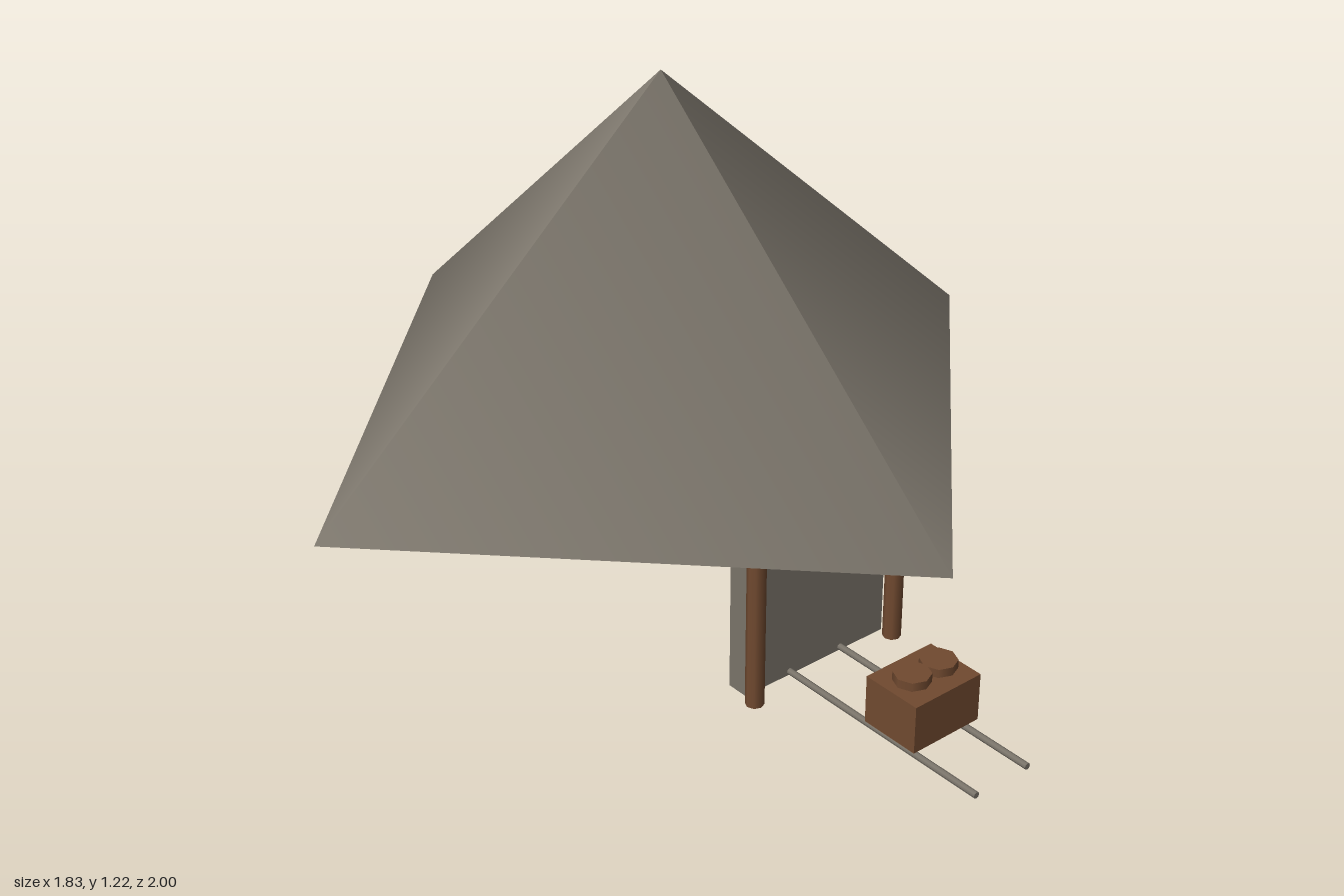
import * as THREE from 'three';

export function createModel() {
  const stone = new THREE.MeshStandardMaterial({ color: 0x7a746a });
  stone.name = 'weathered grey';
  const wood = new THREE.MeshStandardMaterial({ color: 0x714a30 });
  wood.name = 'brown wood';

  const model = new THREE.Group();
  model.name = 'shelter';

  function add(name, geometry, material, x, y, z) {
    const mesh = new THREE.Mesh(geometry, material);
    mesh.name = name;
    mesh.position.set(x, y, z);
    model.add(mesh);
    return mesh;
  }

  // Four-sided roof, corners on the x and z axes
  add('roof', new THREE.ConeGeometry(0.916, 0.812, 4), stone, 0, 0.816, -0.084);

  // Door slab behind the posts
  add('door', new THREE.BoxGeometry(0.4, 0.41, 0.053), stone, 0, 0.205, 0.413);

  // Cart body on the track
  add('cart', new THREE.BoxGeometry(0.186, 0.113, 0.145), wood, 0, 0.085, 0.767);

  // Mirrored posts, rails and cart lids
  const post = new THREE.CylinderGeometry(0.021, 0.021, 0.41, 8);
  const rail = new THREE.CylinderGeometry(0.0075, 0.0075, 0.59, 8).rotateX(Math.PI / 2);
  const lid = new THREE.CylinderGeometry(0.041, 0.041, 0.02, 8);
  for (const [side, s] of [['left', 1], ['right', -1]]) {
    add(side + 'Post', post, wood, 0.202 * s, 0.205, 0.471);
    add(side + 'Rail', rail, stone, 0.074 * s, 0.009, 0.705);
    add(side + 'Lid', lid, wood, 0.038 * s, 0.158, 0.771);
  }

  return model;
}
